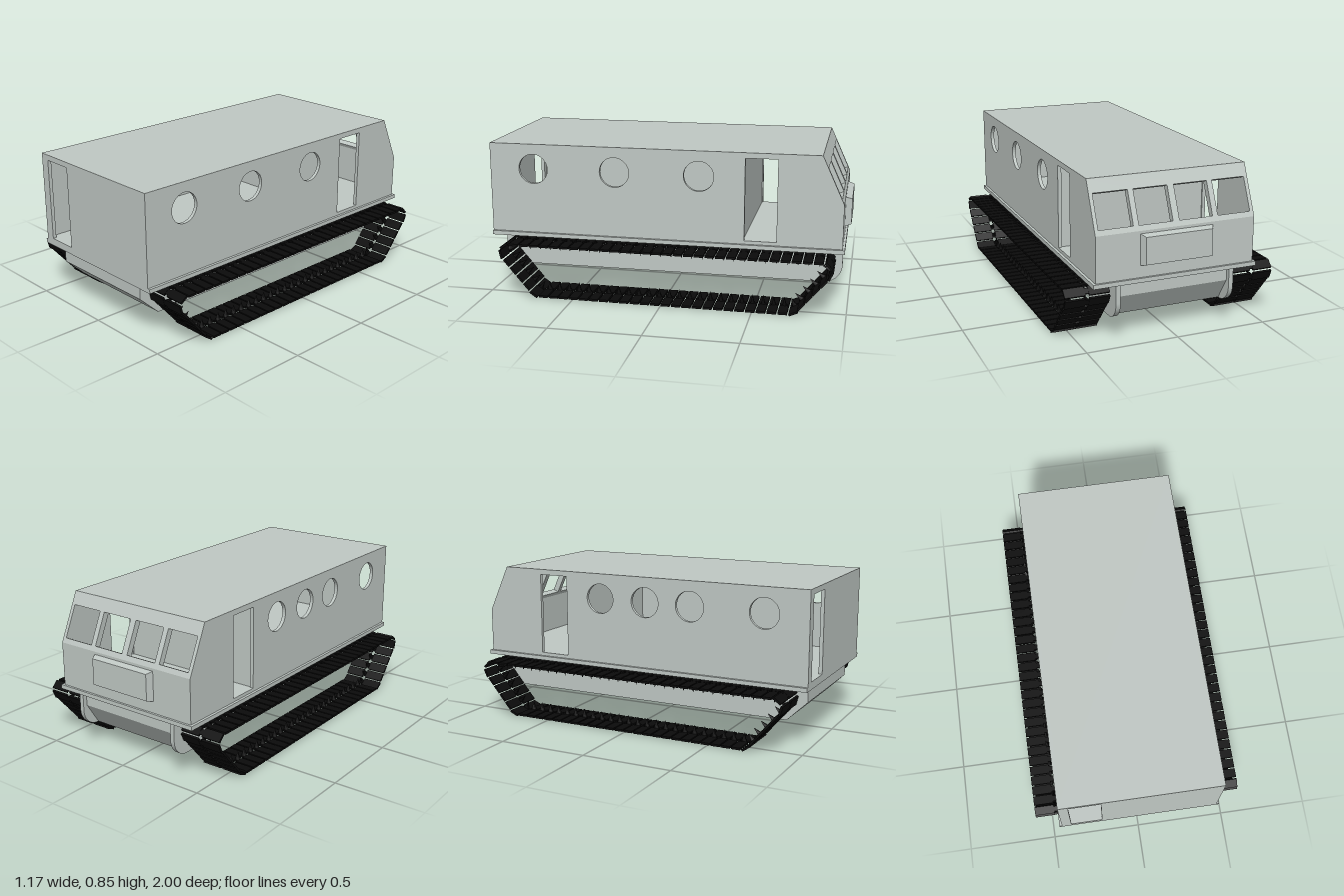
import * as THREE from 'three';
import { mergeGeometries } from 'three/addons/utils/BufferGeometryUtils.js';

const paint = new THREE.MeshStandardMaterial({ color: 0xc0c8c4 });
const rubber = new THREE.MeshStandardMaterial({ color: 0x0b0b0b });

function add(parent, name, geometry, material = paint) {
  const mesh = new THREE.Mesh(geometry, material);
  mesh.name = name;
  parent.add(mesh);
  return mesh;
}

// Box given by its limits on each axis
function box(x0, x1, y0, y1, z0, z1) {
  return new THREE.BoxGeometry(x1 - x0, y1 - y0, z1 - z0)
    .translate((x0 + x1) / 2, (y0 + y1) / 2, (z0 + z1) / 2);
}

const polygon = (points) => new THREE.Shape(points.map(([x, y]) => new THREE.Vector2(x, y)));
const rect = (x0, x1, y0, y1) => polygon([[x0, y0], [x1, y0], [x1, y1], [x0, y1]]);

function extrude(shape, depth) {
  return new THREE.ExtrudeGeometry(shape, { depth, bevelEnabled: false, curveSegments: 20 });
}

// Side profile drawn in (-z, y), extruded across x from x0 to x1
function extrudeAcross(shape, x0, x1) {
  return extrude(shape, x1 - x0).rotateY(Math.PI / 2).translate(x0, 0, 0);
}

// Side wall with round windows and a doorway
function sideWall(windowsZ) {
  const wall = polygon([[-1, 0.335], [0.965, 0.335], [0.965, 0.58], [0.845, 0.84], [-1, 0.84]]);
  for (const z of windowsZ) {
    wall.holes.push(new THREE.Path().absarc(-z, 0.7, 0.083, 0, Math.PI * 2));
  }
  wall.holes.push(rect(0.437, 0.612, 0.355, 0.81));
  return wall;
}

function createCabin() {
  const cabin = new THREE.Group();
  cabin.name = 'cabin';
  add(cabin, 'rightWall', extrudeAcross(sideWall([0.75, 0.285, -0.185]), 0.42, 0.44));
  add(cabin, 'leftWall', extrudeAcross(sideWall([0.755, 0.33, 0.06, -0.22]), -0.44, -0.42));
  add(cabin, 'roof', box(-0.44, 0.44, 0.82, 0.84, -0.845, 1));
  add(cabin, 'floor', box(-0.43, 0.43, 0.335, 0.355, -0.95, 0.99));
  add(cabin, 'partition', box(-0.43, 0.43, 0.35, 0.83, -0.43, -0.415));

  // End wall with its doorway
  const endWall = rect(-0.44, 0.44, 0.335, 0.84);
  endWall.holes.push(rect(-0.387, -0.213, 0.355, 0.81));
  add(cabin, 'endWall', extrude(endWall, 0.02).translate(0, 0, 0.98));

  // Nose panel and sloping windscreen frame
  add(cabin, 'nosePanel', box(-0.44, 0.44, 0.335, 0.58, -0.965, -0.93));
  const rise = 0.26, run = 0.12, length = Math.hypot(rise, run);
  const frame = rect(-0.44, 0.44, 0, length);
  for (const x of [-0.327, -0.111, 0.111, 0.327]) {
    frame.holes.push(rect(x - 0.093, x + 0.093, length * 0.1, length * 0.74));
  }
  const windscreen = add(cabin, 'windscreenFrame', extrude(frame, 0.035));
  windscreen.rotation.x = Math.atan2(run, rise);
  windscreen.position.set(0, 0.58, -0.965);

  // Tapered box on the nose
  const cover = new THREE.BoxGeometry(0.4, 0.165, 0.035);
  const p = cover.attributes.position;
  for (let i = 0; i < p.count; i++) {
    if (p.getZ(i) < 0) p.setXY(i, p.getX(i) * 0.92, p.getY(i) * 0.88);
  }
  cover.computeVertexNormals();
  add(cabin, 'noseCover', cover.translate(0, 0.4825, -0.9825));
  return cabin;
}

function createHull() {
  const hull = new THREE.Group();
  hull.name = 'hull';
  add(hull, 'deck', box(-0.455, 0.455, 0.313, 0.336, -0.977, 1));
  add(hull, 'lowerHull', extrudeAcross(polygon([[-0.965, 0.32], [-0.965, 0.225], [-0.85, 0.115],
    [0.86, 0.115], [0.94, 0.24], [0.94, 0.32]]), -0.31, 0.31));

  // Side plates with a rounded lower corner
  const plate = polygon([[-0.965, 0.32], [-0.965, 0.225], [-0.85, 0.115], [0.86, 0.115]]);
  plate.absarc(0.865, 0.215, 0.1, -Math.PI / 2, 0);
  plate.lineTo(0.965, 0.32);
  for (const x of [-0.33, 0.305]) add(hull, 'hullSidePlate', extrudeAcross(plate, x, x + 0.025));
  return hull;
}

// One track link: two pads, a joining bar and an inward guide tooth
function trackLink() {
  return mergeGeometries([
    box(-0.12, -0.01, -0.006, 0.006, -0.025, 0.025),
    box(0.01, 0.12, -0.006, 0.006, -0.025, 0.025),
    box(-0.02, 0.02, -0.005, 0.005, -0.015, 0.015),
    new THREE.ConeGeometry(0.015, 0.05, 4).rotateY(Math.PI / 4).rotateX(Math.PI).translate(0, -0.03, 0),
  ]);
}

function createTrack() {
  const count = 68, r = 0.048, half = Math.PI / 2;
  const low = [0.7, 0.054], high = [0.865, 0.248];
  const slope = Math.atan2(high[1] - low[1], high[0] - low[0]) - half;

  // Loop in (z, y)
  const loop = new THREE.Path();
  loop.absarc(low[0], low[1], r, -half, slope);
  loop.absarc(high[0], high[1], r, slope, half);
  loop.absarc(-high[0], high[1], r, half, Math.PI - slope);
  loop.absarc(-low[0], low[1], r, Math.PI - slope, 3 * half);
  loop.closePath();

  const link = trackLink();
  const links = [];
  for (let i = 0; i < count; i++) {
    const t = (i + 0.5) / count;
    const at = loop.getPoint(t), dir = loop.getTangent(t);
    const matrix = new THREE.Matrix4().makeBasis(
      new THREE.Vector3(1, 0, 0),
      new THREE.Vector3(0, -dir.x, dir.y),
      new THREE.Vector3(0, -dir.y, -dir.x),
    ).setPosition(0, at.y, at.x - 0.005);
    links.push(link.clone().applyMatrix4(matrix));
  }
  return mergeGeometries(links);
}

export function createModel() {
  const model = new THREE.Group();
  model.name = 'trackedVehicle';
  model.add(createCabin(), createHull());
  const track = createTrack();
  for (const side of [-1, 1]) {
    add(model, side > 0 ? 'leftTrack' : 'rightTrack', track, rubber).position.x = side * 0.465;
  }
  return model;
}
